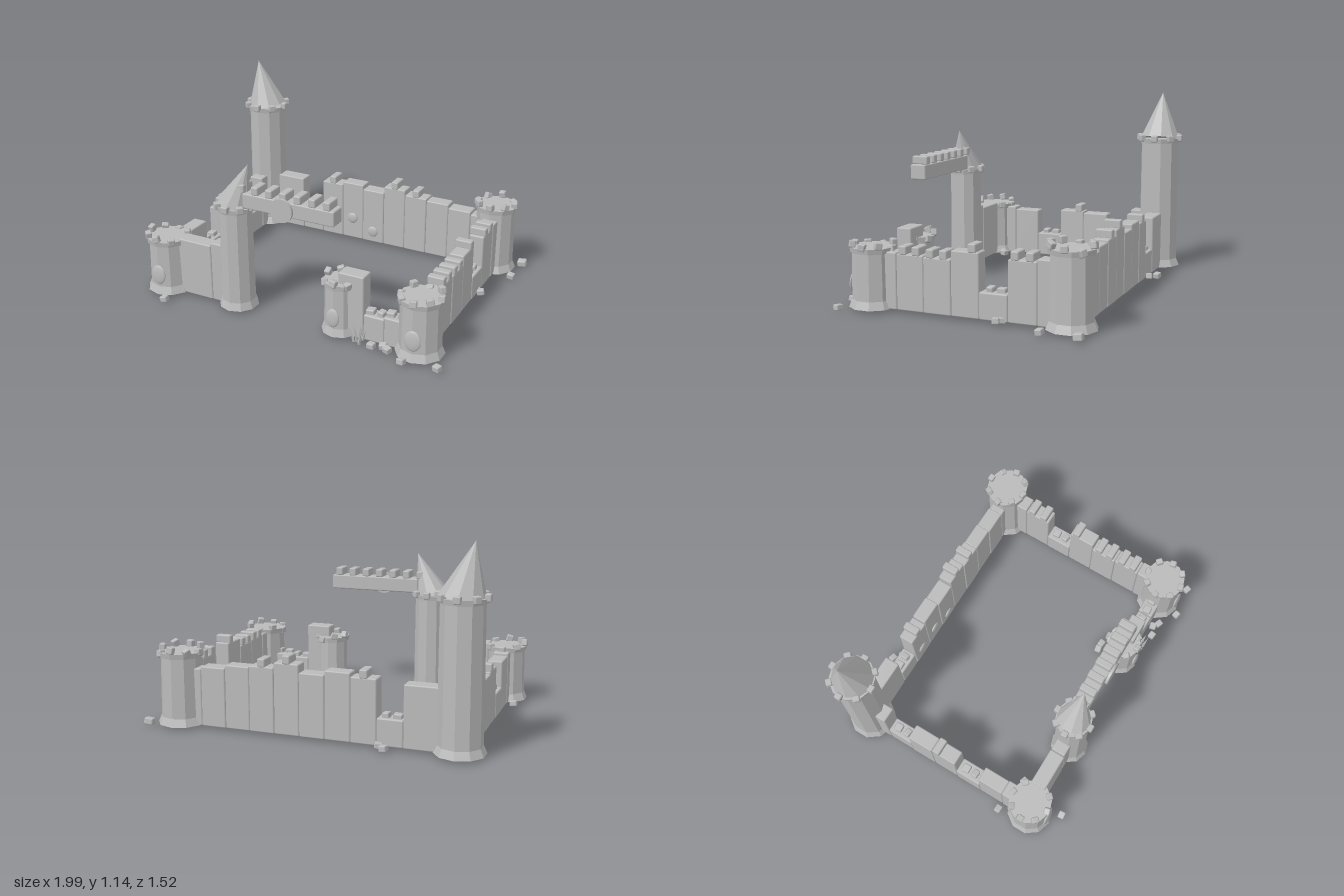
import * as THREE from 'three';
import { RoundedBoxGeometry } from 'three/addons/geometries/RoundedBoxGeometry.js';

const stone = new THREE.MeshStandardMaterial({ color: 0xbababa });
stone.name = 'greyStone';
const BASE = 0.015, BACK = -0.615, FRONT = 0.555, LEFT = 0.8, RIGHT = -0.85, THICK = 0.095;

function add(parent, name, geometry, x, y, z, rx = 0, ry = 0, rz = 0) {
  const mesh = new THREE.Mesh(geometry, stone);
  mesh.name = name;
  mesh.position.set(x, y, z);
  mesh.rotation.set(rx, ry, rz);
  parent.add(mesh);
  return mesh;
}
function faceted(geometry) {
  const flat = geometry.toNonIndexed();
  flat.computeVertexNormals();
  return flat;
}
// Softly shaded block with a narrow bevel
const block = (w, h, d) => new RoundedBoxGeometry(w, h, d, 1, Math.min(0.008, w / 5, h / 5, d / 5));
const drum = (top, bottom, h) => faceted(new THREE.CylinderGeometry(top, bottom, h, 10));

// Small repeatable random numbers for tumbled stones
let seed = 11;
function jitter(amount) {
  seed = (seed * 16807) % 2147483647;
  return (seed / 2147483647 * 2 - 1) * amount;
}

// Ten-sided tower: flared foot, shaft, collar, ring of merlons
function tower(parent, name, x, z, r, top, merlons, ring, wobble) {
  const g = new THREE.Group();
  g.name = name;
  g.position.set(x, 0, z);
  parent.add(g);
  add(g, 'foot', drum(r * 1.02, r * 1.18, 0.045), 0, BASE + 0.0225, 0);
  add(g, 'shaft', drum(r * 0.98, r * 1.02, top - BASE - 0.045), 0, (top + BASE + 0.045) / 2, 0);
  add(g, 'collar', drum(r * 1.1, r * 1.06, 0.03), 0, top + 0.008, 0);
  for (let i = 0; i < merlons; i++) {
    const a = i / merlons * Math.PI * 2;
    add(g, 'towerMerlon', block(0.042, 0.042, 0.036),
      Math.sin(a) * r * ring, top + 0.026 + jitter(wobble * 0.06), Math.cos(a) * r * ring,
      jitter(wobble), a + jitter(wobble), jitter(wobble));
  }
  return g;
}

// Leaning pointed roof
function roof(parent, r, h, y, lean) {
  const cone = new THREE.ConeGeometry(r, h, 10);
  cone.translate(0, h / 2, 0);
  add(parent, 'roof', faceted(cone), 0, y, 0, 0, 0, lean);
}

// Shallow domed oval shield, facing front
function shield(parent, name, x, y, z, w, h, tilt = 0) {
  const dome = new THREE.SphereGeometry(1, 20, 12);
  dome.scale(w, h, 0.012);
  add(parent, name, dome, x, y, z, tilt);
}

// Wall of panels [from, to, height]; low panels carry broken blocks
function wall(parent, name, alongX, fixed, panels, merlons) {
  const g = new THREE.Group();
  g.name = name;
  parent.add(g);
  const piece = (part, at, y, len, h, depth, turn = 0) => {
    const b = alongX ? block(len, h, depth) : block(depth, h, len);
    add(g, part, b, alongX ? at : fixed, y, alongX ? fixed : at, 0, turn, turn);
  };
  panels.forEach(([a, b, top], i) => {
    const mid = (a + b) / 2, depth = THICK - (i % 2) * 0.004;
    piece('wallPanel', mid, (BASE + top) / 2, b - a, top - BASE, depth);
    if (top < 0.25) {
      piece('brokenBlock', mid - 0.035, top + 0.008, 0.05, 0.035, 0.05, 0.06);
      piece('brokenBlock', mid + 0.03, top + 0.008, 0.04, 0.04, 0.05, -0.1);
    }
  });
  for (const [at, top] of merlons) piece('wallMerlon', at, top + 0.02, 0.047, 0.05, 0.1);
}

export function createModel() {
  const castle = new THREE.Group();
  castle.name = 'ruinedCastle';

  // Corner towers
  const tall = tower(castle, 'tallTower', RIGHT, BACK, 0.122, 0.825, 8, 1.07, 0);
  roof(tall, 0.128, 0.3, 0.845, 0.2);
  tower(castle, 'backLeftTower', LEFT, BACK, 0.12, 0.415, 8, 0.98, 0.3);
  for (const x of [RIGHT, LEFT]) {
    const t = tower(castle, 'frontCornerTower', x, FRONT, 0.118, 0.33, 8, 0.98, 0.3);
    shield(t, 'towerShield', 0.005, 0.14, 0.122, 0.048, 0.06, -0.06);
  }

  // Gate towers
  const gate = tower(castle, 'gateTower', -0.36, 0.55, 0.1, 0.625, 8, 1.07, 0);
  roof(gate, 0.103, 0.265, 0.655, -0.35);
  const broken = tower(castle, 'brokenGateTower', 0.31, 0.54, 0.094, 0.305, 7, 0.98, 0.3);
  shield(broken, 'towerShield', 0, 0.13, 0.1, 0.04, 0.055, -0.06);

  // Overhanging gate beam with merlons and round emblem plate
  add(castle, 'gateBeam', block(0.58, 0.09, 0.1), 0.005, 0.7, 0.547);
  for (let i = 0; i < 7; i++) {
    add(castle, 'beamMerlon', block(0.045, 0.05, 0.1), -0.295 + i * 0.0905, 0.768, 0.547);
  }
  add(castle, 'gateDisc', new THREE.CylinderGeometry(0.07, 0.07, 0.016, 24), -0.025, 0.695, 0.605, Math.PI / 2);

  // Back wall
  wall(castle, 'backWall', true, BACK, [
    [-0.75, -0.55, 0.37], [-0.55, -0.4, 0.17], [-0.4, -0.25, 0.385], [-0.25, -0.1, 0.405],
    [-0.1, 0.05, 0.38], [0.05, 0.2, 0.425], [0.2, 0.35, 0.395], [0.35, 0.5, 0.385],
    [0.5, 0.65, 0.365], [0.65, 0.72, 0.35],
  ], [[-0.325, 0.385], [0.125, 0.425], [0.275, 0.395]]);
  for (const [x, y] of [[-0.325, 0.14], [-0.175, 0.16], [-0.025, 0.09]]) {
    shield(castle, 'wallShield', x, y, BACK + 0.05, 0.036, 0.036);
  }

  // Side walls
  wall(castle, 'leftWall', false, LEFT, [
    [0.385, 0.46, 0.335], [0.22, 0.385, 0.33], [0.055, 0.22, 0.325], [-0.11, 0.055, 0.375],
    [-0.275, -0.11, 0.165], [-0.44, -0.275, 0.355], [-0.53, -0.44, 0.37],
  ], [[0.345, 0.33], [0.265, 0.33], [0.18, 0.325], [0.1, 0.325], [-0.07, 0.375],
    [-0.315, 0.355], [-0.4, 0.355]]);
  wall(castle, 'rightWall', false, RIGHT, [
    [0.385, 0.46, 0.335], [0.22, 0.385, 0.32], [0.055, 0.22, 0.165], [-0.11, 0.055, 0.335],
    [-0.275, -0.11, 0.325], [-0.44, -0.275, 0.165], [-0.53, -0.44, 0.37],
  ], [[-0.075, 0.335]]);

  // Front wall, either side of the open gate
  wall(castle, 'frontWallRight', true, 0.547, [[-0.75, -0.52, 0.365], [-0.52, -0.43, 0.385]], []);
  wall(castle, 'frontWallLeft', true, 0.547, [[0.32, 0.475, 0.395], [0.475, 0.6, 0.17], [0.6, 0.72, 0.185]], []);

  // Splintered gate bars
  for (let i = 0; i < 7; i++) {
    add(castle, 'gateSplinter', faceted(new THREE.ConeGeometry(0.009, 0.08 + (i % 3) * 0.02, 4)),
      0.41 + i * 0.014, 0.06, 0.615 + (i % 2) * 0.02, 0.1, 0, 0.35 - i * 0.11);
  }

  // Fallen stones [x, z]
  const stones = [[-0.94, 0.38], [-0.77, 0.735], [-0.71, 0.43], [-0.735, 0.45], [0.285, 0.39],
    [0.33, 0.39], [0.4, 0.41], [0.55, 0.645], [0.645, 0.645], [0.61, 0.62], [0.76, 0.715],
    [0.955, 0.69], [0.96, -0.5], [-0.46, -0.72], [-0.42, -0.68], [0.865, -0.215], [0.83, -0.24]];
  for (const [x, z] of stones) {
    add(castle, 'fallenStone', block(0.045, 0.035, 0.04), x, 0.026, z, jitter(0.2), jitter(0.4), jitter(0.2));
  }
  add(castle, 'fallenStone', block(0.055, 0.04, 0.05), 0.965, 0.026, -0.71, 0.1, 0.1, 0.1);
  return castle;
}
